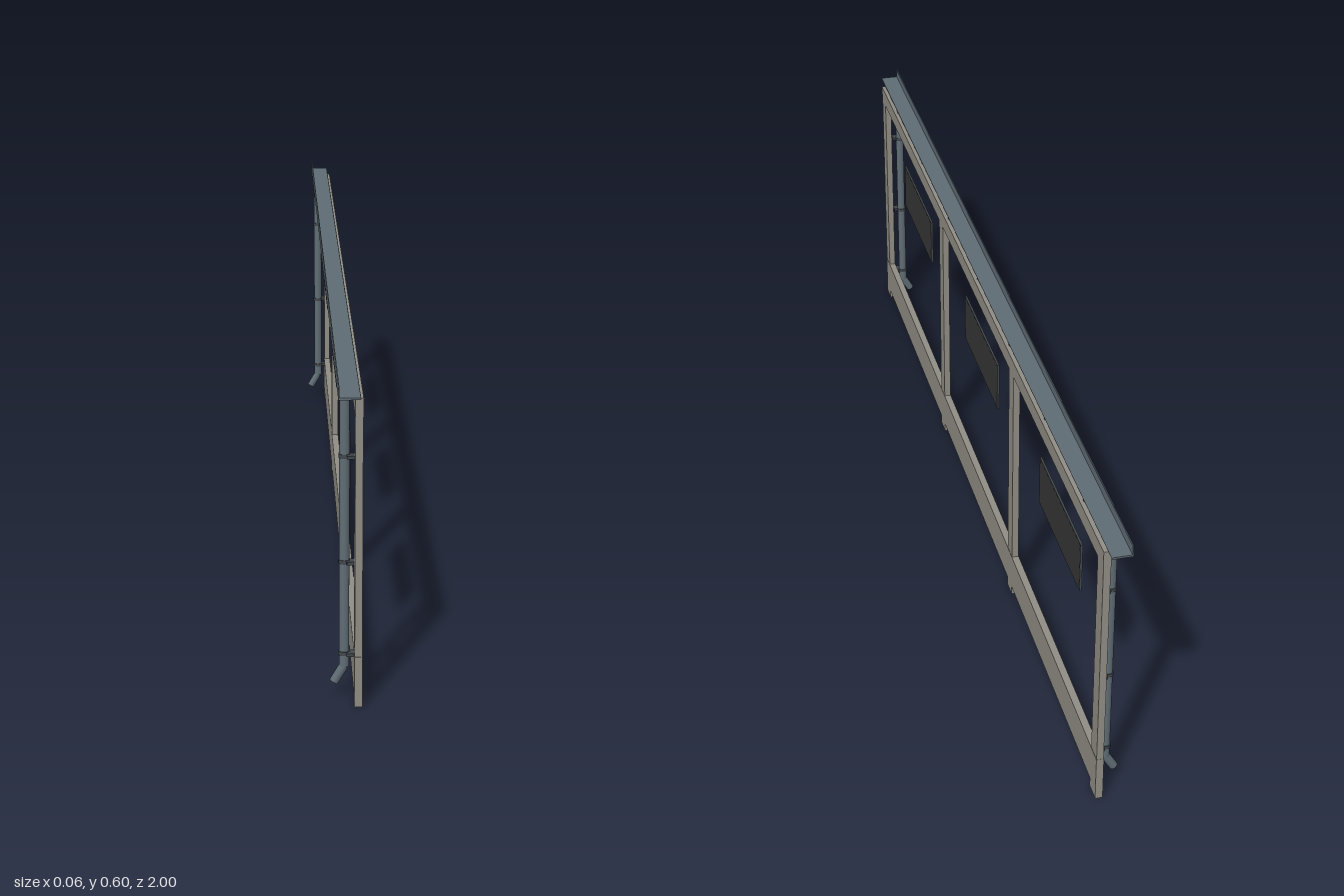
import * as THREE from 'three';
import { mergeGeometries } from 'three/addons/utils/BufferGeometryUtils.js';

const material = (name, color) => {
  const m = new THREE.MeshStandardMaterial({ color });
  m.name = name;
  return m;
};

export function createModel() {
  const concrete = material('concrete grey', 0x8f8d84);
  const slate = material('slate metal', 0x5f6c74);
  const clampGrey = material('dark clamp grey', 0x41484d);
  const charcoal = material('charcoal panel', 0x353535);
  const root = new THREE.Group();
  root.name = 'framedBarrier';

  const add = (name, geometry, mat, parent = root) => {
    const mesh = new THREE.Mesh(geometry, mat);
    mesh.name = name;
    parent.add(mesh);
    return mesh;
  };
  // Box given by its minimum and maximum on each axis
  const box = (name, mat, [x0, x1], [y0, y1], [z0, z1], parent = root) => {
    const mesh = add(name, new THREE.BoxGeometry(x1 - x0, y1 - y0, z1 - z0), mat, parent);
    mesh.position.set((x0 + x1) / 2, (y0 + y1) / 2, (z0 + z1) / 2);
    return mesh;
  };

  // Frame: two long beams, four posts and their feet
  const depth = [0.0135, 0.028];
  box('topBeam', concrete, depth, [0.54, 0.574], [-0.97, 0.97]);
  box('bottomBeam', concrete, depth, [0.019, 0.096], [-0.97, 0.97]);
  for (const z of [-0.9515, -0.317, 0.317, 0.9515]) {
    box('post', concrete, [0.014, 0.0275], [0.096, 0.54], [z - 0.018, z + 0.018]);
    box('foot', concrete, depth, [0, 0.019], [z - 0.0185, z + 0.0185]);
  }

  // Top flashing: flat tray with rounded front edge and an upright back lip
  const flashing = new THREE.Group();
  flashing.name = 'flashing';
  root.add(flashing);
  box('flashingTray', slate, [-0.016, 0.0205], [0.579, 0.583], [-1, 1], flashing);
  box('flashingLip', slate, [-0.0165, -0.0145], [0.579, 0.602], [-1, 1], flashing);
  const hem = add('flashingHem', new THREE.CylinderGeometry(0.002, 0.002, 2, 10), slate, flashing);
  hem.rotation.x = Math.PI / 2;
  hem.position.set(0.0205, 0.581, 0);
  for (let i = -3; i <= 3; i++) {
    const z = i * 0.272;
    box('flashingClip', clampGrey, [0.014, 0.021], [0.574, 0.579], [z - 0.003, z + 0.003], flashing);
  }

  // Infill panels: flat on one side, studded with small pyramids on the other
  const studs = [];
  const rows = 16, columns = 44;
  for (let r = 0; r < rows; r++) {
    for (let c = 0; c < columns; c++) {
      const stud = new THREE.ConeGeometry(0.0033, 0.0025, 4, 1, true).toNonIndexed();
      stud.computeVertexNormals();
      stud.rotateZ(Math.PI / 2);
      stud.translate(0.0103, 0.396 + (r - (rows - 1) / 2) * 0.0062, (c - (columns - 1) / 2) * 0.0064);
      studs.push(stud);
    }
  }
  const studGeometry = mergeGeometries(studs);
  for (const z of [-0.635, 0, 0.635]) {
    const panel = new THREE.Group();
    panel.name = 'panel';
    panel.position.z = z;
    root.add(panel);
    box('panelSheet', charcoal, [0.0115, 0.0135], [0.345, 0.447], [-0.144, 0.144], panel);
    add('panelStuds', studGeometry, clampGrey, panel);
    for (const s of [-1, 1]) {
      box('panelSideRim', clampGrey, [0.009, 0.0133], [0.343, 0.449],
        [s * 0.1445 - 0.0015, s * 0.1445 + 0.0015], panel);
      box('panelEdgeRim', clampGrey, [0.009, 0.0133],
        [0.396 + s * 0.0515 - 0.0015, 0.396 + s * 0.0515 + 0.0015], [-0.143, 0.143], panel);
    }
  }

  // Downpipes at both ends with a slanted spout and three wall clamps
  for (const side of [-1, 1]) {
    const downpipe = new THREE.Group();
    downpipe.name = 'downpipe';
    downpipe.position.set(-0.003, 0, side * 0.921);
    root.add(downpipe);
    const pipe = add('pipe', new THREE.CylinderGeometry(0.009, 0.009, 0.52, 20), slate, downpipe);
    pipe.position.y = 0.319;
    const top = new THREE.Vector3(0, 0.06, 0), end = new THREE.Vector3(-0.018, 0.029, 0);
    const axis = top.clone().sub(end);
    const spout = add('spout', new THREE.CylinderGeometry(0.0085, 0.0085, axis.length(), 20), slate, downpipe);
    spout.position.copy(top).add(end).multiplyScalar(0.5);
    spout.quaternion.setFromUnitVectors(new THREE.Vector3(0, 1, 0), axis.normalize());
    for (const y of [0.085, 0.259, 0.455]) {
      const ring = add('clampRing', new THREE.CylinderGeometry(0.0105, 0.0105, 0.007, 20), clampGrey, downpipe);
      ring.position.y = y;
      const z = side * 0.006;
      box('clampArm', clampGrey, [0.004, 0.0175], [y - 0.003, y + 0.003], [z - 0.009, z + 0.009], downpipe);
    }
  }
  return root;
}
